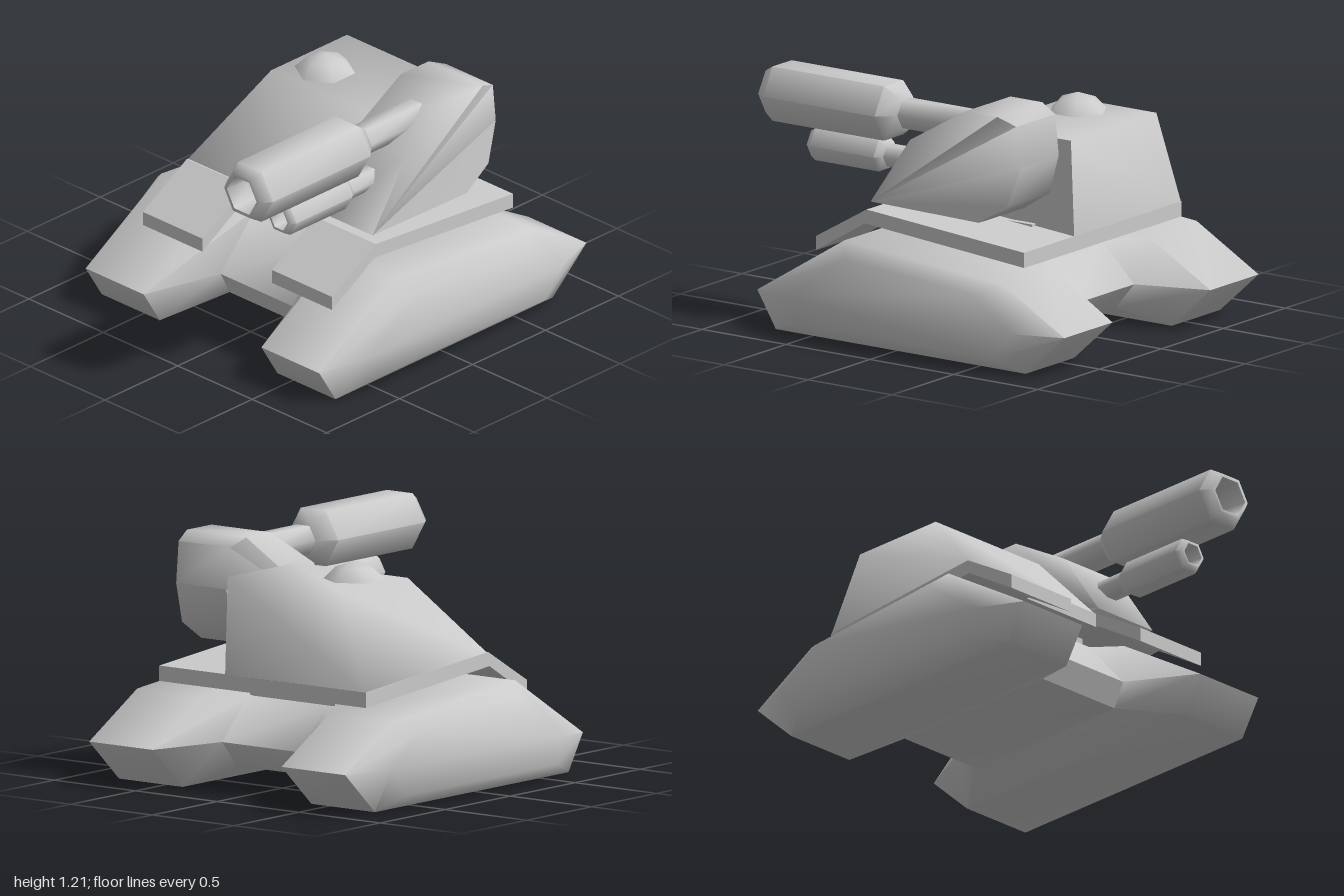
import * as THREE from 'three';
import { toCreasedNormals } from 'three/addons/utils/BufferGeometryUtils.js';

const material = new THREE.MeshStandardMaterial({ color: 0xcccccc });

function addMesh(parent, name, geometry, crease) {
  const mesh = new THREE.Mesh(toCreasedNormals(geometry, crease), material);
  mesh.name = name;
  parent.add(mesh);
  return mesh;
}

// Skins a list of equal-length rings of [x, y, z] points and caps both ends.
function loft(rings) {
  const n = rings[0].length;
  const index = [];
  for (let i = 0; i < rings.length - 1; i++) {
    for (let j = 0; j < n; j++) {
      const k = (j + 1) % n;
      const a = i * n + j, b = i * n + k, c = b + n, d = a + n;
      index.push(a, d, c, a, c, b);
    }
  }
  const last = (rings.length - 1) * n;
  for (let j = 1; j < n - 1; j++) {
    index.push(0, j, j + 1, last, last + j + 1, last + j);
  }
  const geometry = new THREE.BufferGeometry();
  geometry.setAttribute('position', new THREE.Float32BufferAttribute(rings.flat(2), 3));
  geometry.setIndex(index);
  return geometry;
}

// Places a [z, y] side profile at a given x.
const section = (x, profile) => profile.map(([z, y]) => [x, y, z]);

// Six-sided solid of revolution lying along z; profile is [radius, z].
function hexTurned(profile) {
  const points = profile.map(([r, z]) => new THREE.Vector2(r, z));
  return new THREE.LatheGeometry(points, 6, Math.PI / 2).rotateX(Math.PI / 2);
}

export function createModel() {
  const model = new THREE.Group();
  model.name = 'tank';

  // Both track pods and the hull between them, skinned across the width
  const trackOuter = [[0.58, 0.2], [0.25, 0.43], [-0.52, 0.37], [-0.75, 0.21], [-0.63, 0.07], [0.53, 0.07]];
  const trackFull = [[0.83, 0.18], [0.31, 0.5], [-0.63, 0.42], [-1, 0.21], [-0.77, 0], [0.72, 0]];
  const hull = [[0.46, 0.21], [0.23, 0.47], [-0.47, 0.41], [-0.66, 0.22], [-0.55, 0.09], [0.4, 0.09]];
  addMesh(model, 'hullAndTracks', loft([
    section(-0.87, trackOuter), section(-0.785, trackFull), section(-0.395, trackFull), section(-0.24, hull),
    section(0.24, hull), section(0.395, trackFull), section(0.785, trackFull), section(0.87, trackOuter),
  ]), 1.1);

  // Neck carrying the turret
  const neck = addMesh(model, 'turretNeck', new THREE.BoxGeometry(0.52, 0.2, 0.58), 0.5);
  neck.position.set(0, 0.48, -0.13);

  // Bent deck plate: two front prongs with a notch between them
  const deck = new THREE.Group();
  deck.name = 'turretDeck';
  model.add(deck);
  const prong = [[0.59, 0.45], [0.29, 0.625], [-0.65, 0.55], [-0.65, 0.475], [0.3, 0.555], [0.59, 0.38]];
  const middle = [[0.285, 0.625], [-0.65, 0.55], [-0.65, 0.475], [0.285, 0.555]];
  // the bent profile is split at its fold so that each piece is convex
  const front = [prong[0], prong[1], prong[4], prong[5]];
  const rear = [prong[1], prong[2], prong[3], prong[4]];
  for (const [x0, x1] of [[-0.635, -0.235], [0.23, 0.635]]) {
    addMesh(deck, 'deckProng', loft([section(x0, front), section(x1, front)]), 0.5);
    addMesh(deck, 'deckSide', loft([section(x0, rear), section(x1, rear)]), 0.5);
  }
  addMesh(deck, 'deckMiddle', loft([section(-0.235, middle), section(0.23, middle)]), 0.5);

  // Turret body, sloped at the front and on its right side
  addMesh(model, 'turretBody', loft([
    [[-0.635, 0.54, -0.65], [0.23, 0.54, -0.65], [0.23, 0.62, 0.285], [-0.635, 0.62, 0.285]],
    [[-0.46, 1.02, -0.63], [0.23, 1.02, -0.63], [0.23, 1.02, -0.11], [-0.46, 1.02, -0.11]],
  ]), 1.565);

  // Hatch dome on the turret roof
  const dome = [[0.15, 0], [0.09, 0.06], [0, 0.09]].map(([r, y]) => new THREE.Vector2(r, y));
  const hatch = addMesh(model, 'hatchDome', new THREE.LatheGeometry(dome, 6), 1.1);
  hatch.position.set(-0.28, 1.02, -0.295);

  // Weapon pod; the third value narrows the back corners
  const pod = [
    [0.285, 0.66, 0], [0.05, 1.0, 0], [-0.28, 1.19, 0], [-0.47, 1.19, 0], [-0.565, 1.15, 0.025],
    [-0.59, 0.95, 0.03], [-0.52, 0.75, 0.01], [-0.36, 0.65, 0],
  ];
  const podSide = (s) => pod.map(([z, y, inset]) => [0.426 + s * (0.182 - inset), y, z]);
  addMesh(model, 'weaponPod', loft([podSide(-1), podSide(1)]), 1.6);

  // Twin guns: thin rod, chamfered sleeve and open bore
  const guns = [
    { name: 'upperGun', y: 1.075, r: 0.155, rod: 0.078, bore: 0.1, lip: 0.118, z: [-0.2, 0.2, 0.28, 0.945, 1] },
    { name: 'lowerGun', y: 0.852, r: 0.09, rod: 0.058, bore: 0.058, lip: 0.072, z: [-0.05, 0.3, 0.335, 0.715, 0.745] },
  ];
  for (const { name, y, r, rod, bore, lip, z } of guns) {
    const gun = new THREE.Group();
    gun.name = name;
    gun.position.set(0.43, y, 0);
    model.add(gun);
    addMesh(gun, 'gunRod', hexTurned([[0, z[0]], [rod, z[0]], [rod, z[1] + 0.02], [0, z[1] + 0.02]]), 1.1);
    addMesh(gun, 'gunSleeve', hexTurned([
      [0, z[1]], [rod * 1.15, z[1]], [r, z[2]], [r, z[3]], [lip, z[4]],
      [bore, z[4]], [bore * 0.85, z[4] - r], [0, z[4] - r],
    ]), 1.1);
  }

  return model;
}
